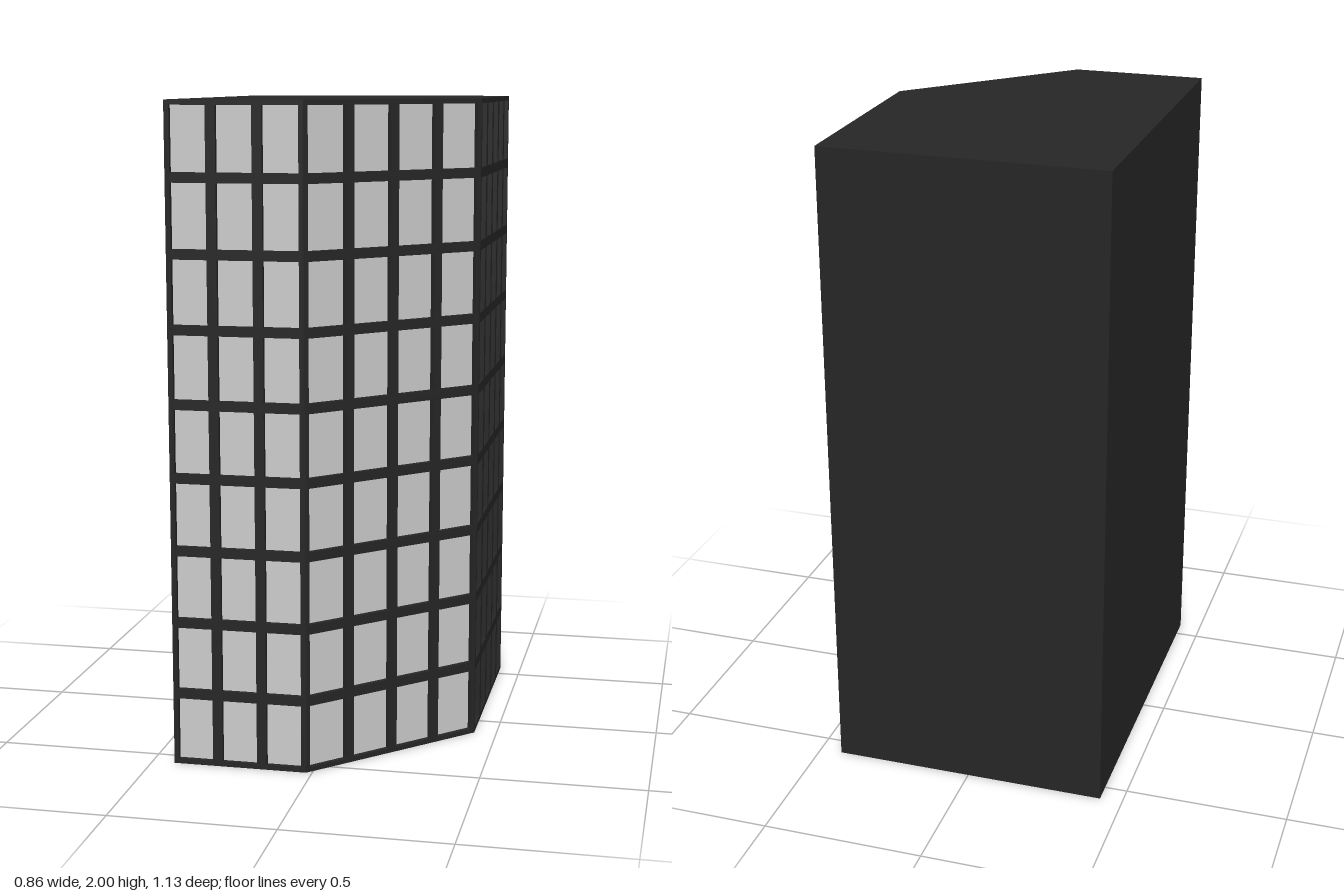
import * as THREE from 'three';

const HEIGHT = 2, FLOORS = 9;
const BAR = 0.03;      // width of a mullion, half of it at the facade edges
const RECESS = 0.016;  // depth of the glass behind the frame
const X = 0.43, Z = 0.563;
const frontCorner = [-0.018, Z], sideCorner = [X, 0.112];

const dark = new THREE.MeshStandardMaterial({ color: 0x262626 });
const glass = new THREE.MeshStandardMaterial({ color: 0xcccccc });

// A glazed wall from plan point a to plan point b, facing outwards
function facade(name, a, b, columns) {
  const wall = new THREE.Group();
  wall.name = name;
  const dx = b[0] - a[0], dz = b[1] - a[1];
  const width = Math.hypot(dx, dz);
  const cellW = width / columns, cellH = HEIGHT / FLOORS;
  const w = cellW - BAR, h = cellH - BAR;

  const outline = new THREE.Shape();
  outline.moveTo(0, 0).lineTo(width, 0).lineTo(width, HEIGHT).lineTo(0, HEIGHT).closePath();
  const paneGeometry = new THREE.PlaneGeometry(w, h);
  for (let i = 0; i < columns; i++) {
    for (let j = 0; j < FLOORS; j++) {
      const x = i * cellW + BAR / 2, y = j * cellH + BAR / 2;
      const hole = new THREE.Path();
      hole.moveTo(x, y).lineTo(x, y + h).lineTo(x + w, y + h).lineTo(x + w, y).closePath();
      outline.holes.push(hole);

      const pane = new THREE.Mesh(paneGeometry, glass);
      pane.name = 'windowPane';
      pane.position.set(x + w / 2, y + h / 2, 0.001 - RECESS);
      wall.add(pane);
    }
  }
  const frameGeometry = new THREE.ExtrudeGeometry(outline, { depth: RECESS, bevelEnabled: false });
  frameGeometry.translate(0, 0, -RECESS);
  const frame = new THREE.Mesh(frameGeometry, dark);
  frame.name = 'windowFrame';
  wall.add(frame);

  wall.position.set(a[0], 0, a[1]);
  wall.rotation.y = Math.atan2(-dz, dx);
  return wall;
}

export function createModel() {
  const building = new THREE.Group();
  building.name = 'towerBlock';

  // Solid core with blank back and right walls, set back behind the glazed walls
  const miter = RECESS * Math.tan(Math.PI / 8);
  const plan = [
    [-X, -Z], [-X, Z - RECESS],
    [frontCorner[0] - miter, Z - RECESS],
    [X - RECESS, sideCorner[1] - miter],
    [X - RECESS, -Z],
  ];
  const shape = new THREE.Shape(plan.map(([x, z]) => new THREE.Vector2(x, -z)));
  const coreGeometry = new THREE.ExtrudeGeometry(shape, { depth: HEIGHT, bevelEnabled: false });
  coreGeometry.rotateX(-Math.PI / 2);
  const core = new THREE.Mesh(coreGeometry, dark);
  core.name = 'buildingCore';
  building.add(core);

  // Three glazed walls running round the cut-off corner
  building.add(
    facade('frontFacade', [-X, Z], frontCorner, 3),
    facade('cornerFacade', frontCorner, sideCorner, 4),
    facade('leftFacade', sideCorner, [X, -Z], 5),
  );
  return building;
}
